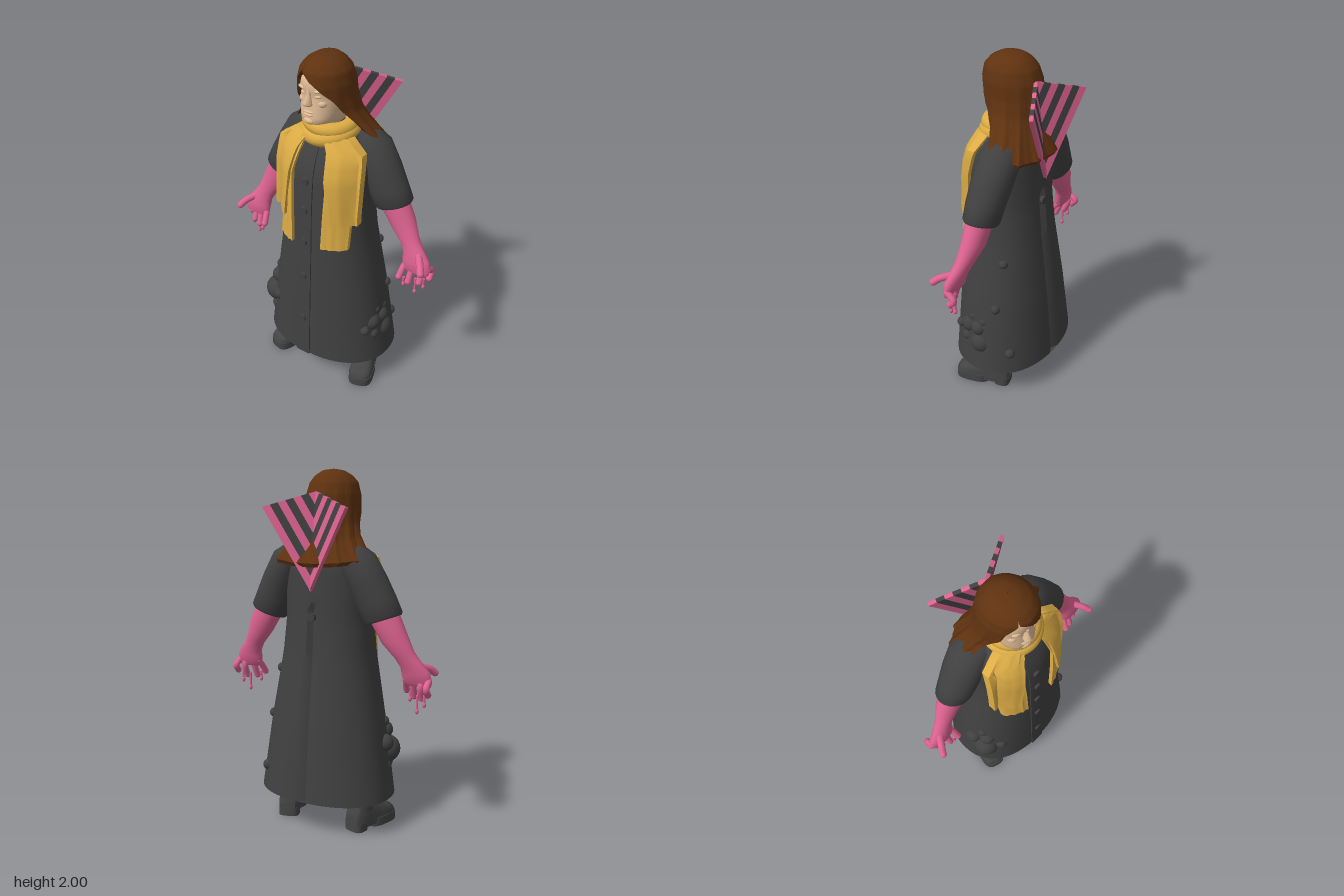
import * as THREE from 'three';
import { toCreasedNormals } from 'three/addons/utils/BufferGeometryUtils.js';

const V = (x, y, z) => new THREE.Vector3(x, y, z);
const lerp = THREE.MathUtils.lerp;
const mat = (name, color) => Object.assign(new THREE.MeshStandardMaterial({ color }), { name });

// Closed skin through a list of equal rings, with both ends capped
function loft(rings, crease = 0.7) {
  const N = rings[0].length, idx = [], L = (rings.length - 1) * N;
  const pts = rings.flat();
  for (let r = 0; r < rings.length - 1; r++) for (let i = 0; i < N; i++) {
    const j = (i + 1) % N, a = r * N + i, b = r * N + j, c = b + N, d = a + N;
    idx.push(a, b, c, a, c, d);
  }
  for (let i = 0; i < N / 2 - 1; i++) {
    const o = N - 1 - i;
    idx.push(i + 1, i, o, i + 1, o, o - 1, L + i, L + i + 1, L + o - 1, L + i, L + o - 1, L + o);
  }
  let vol = 0;
  for (let i = 0; i < idx.length; i += 3)
    vol += pts[idx[i]].dot(V(0, 0, 0).crossVectors(pts[idx[i + 1]], pts[idx[i + 2]]));
  if (vol < 0) idx.reverse();
  const g = new THREE.BufferGeometry().setFromPoints(pts);
  g.setIndex(idx);
  return toCreasedNormals(g, crease);
}

// Row of a numeric table interpolated by its first column
function row(table, y) {
  let i = 0;
  while (i < table.length - 2 && (table[i + 1][0] - y) * (table[1][0] - table[0][0]) < 0) i++;
  const a = table[i], b = table[i + 1];
  const t = THREE.MathUtils.clamp((y - a[0]) / (b[0] - a[0]), 0, 1);
  return a.map((v, k) => lerp(v, b[k], t));
}

const sp = (v, p) => Math.sign(v) * Math.abs(v) ** (2 / p);
const ring = (y, hw, zf, zb, p, n, cx = 0) => Array.from({ length: n }, (_, i) => {
  const a = i / n * Math.PI * 2;
  return V(cx + hw * sp(Math.sin(a), p), y, (zf + zb) / 2 + (zf - zb) / 2 * sp(Math.cos(a), p));
});

// Coat profile: y, half width, front z, back z
const COAT = [[0.195, 0.395, 0.29, -0.295], [0.6, 0.335, 0.27, -0.255], [1, 0.265, 0.247, -0.205],
  [1.2, 0.245, 0.238, -0.187], [1.4, 0.25, 0.218, -0.18], [1.5, 0.245, 0.185, -0.178],
  [1.58, 0.19, 0.14, -0.155], [1.64, 0.1, 0.09, -0.1]];
const P = 2.25;
function coatFront(x, y) {
  const [, hw, zf, zb] = row(COAT, y), u = Math.min(Math.abs(x) / hw, 0.92);
  return (zf + zb) / 2 + (zf - zb) / 2 * (1 - u ** P) ** (1 / P);
}
// Cloth strip on the coat front; edges: y, x0, x1
function strip(edges, lift, thick, rows = 14) {
  const y0 = edges[0][0], y1 = edges[edges.length - 1][0], n = 8, rings = [];
  for (let r = 0; r <= rows; r++) {
    const [y, a, b] = row(edges, lerp(y0, y1, r / rows));
    const side = off => Array.from({ length: n + 1 }, (_, i) => {
      const x = lerp(a, b, i / n);
      return V(x, y, coatFront(x, y) + off + (thick > 0.02 ? 0.004 * Math.sin(i * 2.4) : 0));
    });
    rings.push([...side(lift), ...side(lift - thick).reverse()]);
  }
  return loft(rings);
}

// Limb from oval sections: x, y, z, half width, half depth, tilt
const limb = (s, secs, n = 20) => loft(secs.map(([x, y, z, w, d, t]) =>
  Array.from({ length: n }, (_, i) => {
    const a = i / n * Math.PI * 2, u = w * Math.cos(a);
    return V(s * (x + u * Math.cos(t)), y + u * Math.sin(t), z + d * Math.sin(a));
  })), 0.9);

export function createModel() {
  const model = new THREE.Group();
  const coatM = mat('charcoal cloth', 0x404040), pink = mat('pink rubber', 0xde6390);
  const gold = mat('mustard wool', 0xdcac45), brown = mat('brown hair', 0x5f3210);
  const skin = mat('skin', 0xdfbb95), bootM = mat('boot leather', 0x444444);
  const add = (name, geo, m, parent = model) => {
    const o = new THREE.Mesh(geo, m); o.name = name; parent.add(o); return o;
  };
  const ball = (name, x, y, z, r, m, parent, sx = 1, sy = 1, sz = 1) => {
    const o = add(name, new THREE.SphereGeometry(r, 18, 12), m, parent);
    o.position.set(x, y, z); o.scale.set(sx, sy, sz); return o;
  };

  // Coat body with a pleat down the back
  const rings = [];
  for (let i = 0; i <= 30; i++) {
    const y = lerp(0.195, 1.64, i / 30), [, hw, zf, zb] = row(COAT, y), r = ring(y, hw, zf, zb, P, 72);
    if (y < 1.3) r[36].z += 0.022;
    rings.push(r);
  }
  add('coat', loft(rings), coatM);
  add('coatPlacket', strip([[1.55, -0.07, 0.02], [0.195, -0.07, 0.02]], 0.008, 0.016, 20), coatM);
  for (const y of [1.36, 1.19, 0.99, 0.76, 0.46]) {
    const b = add('coatButton', new THREE.CylinderGeometry(0.02, 0.023, 0.014, 16), coatM);
    b.rotation.x = Math.PI / 2;
    b.position.set(-0.025, y, coatFront(-0.025, y) + 0.012);
  }
  const bb = add('backButton', new THREE.CylinderGeometry(0.023, 0.023, 0.02, 16), coatM);
  bb.rotation.x = Math.PI / 2;
  bb.position.set(0, 1.22, -0.19);

  // Bubbles and small lumps on the coat
  const bubbles = [[-0.315, 0.44, 0.12, 0.08], [-0.3, 0.55, 0.12, 0.05], [-0.31, 0.61, 0.09, 0.03],
    [-0.255, 0.47, 0.19, 0.038], [-0.3, 0.35, 0.15, 0.04], [-0.33, 0.36, 0.05, 0.045], [-0.34, 0.5, 0.04, 0.05],
    [0.325, 0.36, -0.005, 0.07], [0.33, 0.46, 0.01, 0.05], [0.315, 0.45, 0.08, 0.055], [0.325, 0.51, -0.02, 0.03],
    [0.315, 0.42, 0.15, 0.03], [0.335, 0.37, 0.09, 0.035], [0.32, 0.52, 0.05, 0.03],
    [0.31, 0.62, -0.09, 0.027], [0.3, 0.33, -0.18, 0.03], [0.245, 0.9, -0.1, 0.027]];
  for (const [x, y, z, r] of bubbles) ball('coatBubble', x, y, z, r, coatM);

  for (const s of [1, -1]) {
    const side = s > 0 ? 'left' : 'right';
    // Sleeve
    add(side + 'Sleeve', limb(s, [[0.1, 1.57, -0.04, 0.06, 0.07, 1], [0.155, 1.545, -0.05, 0.09, 0.1, 0.8],
      [0.21, 1.505, -0.055, 0.105, 0.11, 0.55], [0.27, 1.4, -0.05, 0.108, 0.108, 0.42],
      [0.32, 1.3, -0.045, 0.11, 0.1, 0.36], [0.354, 1.225, -0.045, 0.112, 0.092, 0.34],
      [0.358, 1.212, -0.045, 0.104, 0.084, 0.34], [0.358, 1.214, -0.045, 0.09, 0.07, 0.34]]), coatM);
    // Glove: forearm and palm, fingers, thumb and drips
    const glove = new THREE.Group();
    glove.name = side + 'Glove'; model.add(glove);
    add('gloveArm', limb(s, [[0.35, 1.25, -0.04, 0.085, 0.068, 0.4], [0.42, 1.12, -0.04, 0.075, 0.06, 0.45],
      [0.475, 1.03, -0.025, 0.056, 0.045, 0.45], [0.505, 0.98, -0.012, 0.06, 0.04, 0.35],
      [0.53, 0.93, 0, 0.08, 0.038, 0.2], [0.54, 0.885, 0.005, 0.083, 0.032, 0.05],
      [0.543, 0.86, 0.01, 0.07, 0.02, 0]]), pink, glove);
    const finger = (name, r, ...p) => {
      const c = p.map(([x, y, z]) => V(s * x, y, z));
      add(name, new THREE.TubeGeometry(new THREE.CatmullRomCurve3(c), 10, r, 10), pink, glove);
      for (const e of [c[0], c[c.length - 1]]) ball(name + 'End', e.x, e.y, e.z, r, pink, glove);
    };
    finger('thumb', 0.02, [0.55, 0.97, 0.01], [0.585, 0.95, 0.06], [0.605, 0.925, 0.09]);
    [[0.475, 0.46, 0.82, 0.05], [0.52, 0.51, 0.795, 0.035], [0.565, 0.565, 0.795, 0.01], [0.605, 0.61, 0.825, -0.02]]
      .forEach(([bx, x, y, z]) =>
        finger('finger', 0.018, [bx, 0.895, 0], [lerp(bx, x, 0.6), 0.86, z - 0.025], [x, y, z]));
    for (const [x, top, y, z] of [[0.54, 0.81, 0.72, 0.005], [0.585, 0.82, 0.765, -0.005], [0.485, 0.82, 0.775, 0.04]]) {
      add('drip', new THREE.CylinderGeometry(0.008, 0.005, top - y, 8), pink, glove).position.set(s * x, (top + y) / 2, z);
      ball('dripDrop', s * x, y, z, 0.01, pink, glove, 1, 1.6, 1);
    }
    // Boot with sole and heel
    const boot = new THREE.Group();
    boot.name = side + 'Boot'; model.add(boot);
    boot.position.set(s * 0.24, 0, -0.02);
    boot.rotation.y = s * 0.3;
    const block = (hw, zf, zb, y0, y1) => loft([y0, y1].map(y => ring(y, hw, zf, zb, 3.2, 28)), 0.6);
    add('frontSole', block(0.073, 0.23, 0.02, 0, 0.05), bootM, boot);
    add('heel', block(0.06, -0.01, -0.105, 0, 0.05), bootM, boot);
    add('sole', block(0.062, 0.2, -0.105, 0.02, 0.055), bootM, boot);
    add('upper', loft([[-0.1, 0.045, 0.06], [-0.08, 0.058, 0.11], [-0.02, 0.062, 0.13], [0.05, 0.062, 0.12],
      [0.1, 0.068, 0.085], [0.16, 0.07, 0.065], [0.2, 0.06, 0.045], [0.222, 0.035, 0.015]].map(([z, hw, h]) =>
      Array.from({ length: 16 }, (_, i) => {
        const a = i / 15 * Math.PI;
        return V(hw * sp(Math.cos(a), 2.8), 0.045 + h * sp(Math.sin(a), 2.8), z);
      })), 0.8), bootM, boot);
    add('shaft', new THREE.CylinderGeometry(0.076, 0.068, 0.14, 24), bootM, boot).position.set(0, 0.185, -0.02);
    // Striped wing of the ribbon behind the head
    const A = V(s * 0.25, 1.8, -0.27), B = V(0, 1.88, -0.13), T = V(0, 1.36, -0.2);
    const nrm = V(0, 0, 0).crossVectors(B.clone().sub(A), T.clone().sub(A)).setLength(0.01);
    for (let k = 0; k < 7; k++) {
      const [t0, t1] = [k / 7, (k + 1) / 7], at = (a, t) => a.clone().lerp(B, t);
      const q = [at(A, t0), at(A, t1), at(T, t1), at(T, t0)];
      const slab = loft([q.map(p => p.clone().add(nrm)), q.map(p => p.clone().sub(nrm))], 0.3);
      add(side + 'RibbonStripe', slab, k % 2 ? coatM : pink);
    }
  }

  // Head, turned a little to its right
  const head = new THREE.Group();
  head.name = 'head'; model.add(head);
  head.position.x = -0.018;
  head.rotation.y = -0.13;
  add('face', loft([[1.57, 0.07, 0.07, -0.07], [1.64, 0.075, 0.12, -0.08], [1.652, 0.085, 0.155, -0.09],
    [1.675, 0.097, 0.173, -0.1], [1.7, 0.104, 0.17, -0.1], [1.73, 0.108, 0.168, -0.1], [1.79, 0.11, 0.16, -0.1],
    [1.82, 0.11, 0.157, -0.1], [1.84, 0.11, 0.167, -0.1], [1.89, 0.105, 0.155, -0.09], [1.93, 0.09, 0.125, -0.07],
    [1.96, 0.05, 0.07, -0.03]].map(r => ring(...r, 2.4, 40)), 1.2), skin, head);
  add('nose', loft([[1.845, 0.011, 0.172], [1.81, 0.012, 0.178], [1.78, 0.02, 0.2], [1.768, 0.024, 0.198],
    [1.758, 0.016, 0.178]].map(([y, w, z]) => ring(y, w, z, 0.13, 2, 16)), 1), skin, head);
  ball('upperLip', 0, 1.727, 0.164, 0.01, skin, head, 3.4, 0.7, 1.2);
  ball('lowerLip', 0, 1.711, 0.165, 0.01, skin, head, 3, 0.8, 1.2);
  ball('chin', 0, 1.678, 0.158, 0.025, skin, head, 1.4, 0.8, 0.9);
  for (const s of [1, -1]) {
    ball('brow', s * 0.043, 1.842, 0.15, 0.014, skin, head, 2.4, 0.65, 1).rotation.z = s * 0.12;
    ball('eyelid', s * 0.043, 1.813, 0.142, 0.014, skin, head, 1.6, 0.7, 1);
    ball('cheek', s * 0.058, 1.775, 0.125, 0.028, skin, head, 1, 0.8, 1);
  }

  // Hair: y, centre x, half width, front z, back z, face opening from, to
  const HAIR = [[2, -0.02, 0.004, 0.03, 0.02, -0.5, -0.5], [1.992, -0.02, 0.055, 0.09, -0.045, -0.5, -0.5],
    [1.965, -0.02, 0.1, 0.14, -0.085, -0.5, -0.5], [1.93, -0.02, 0.13, 0.172, -0.115, -0.52, -0.48],
    [1.87, -0.02, 0.148, 0.184, -0.14, -0.9, 0.2], [1.8, -0.02, 0.155, 0.18, -0.15, -1.0, 0.75],
    [1.73, -0.015, 0.17, 0.15, -0.16, -1.12, 0.95], [1.67, -0.005, 0.205, 0.12, -0.185, -1.2, 1.1],
    [1.61, 0, 0.265, 0.1, -0.222, -1.2, 1.15], [1.575, 0, 0.305, 0.09, -0.245, -1.15, 1.12],
    [1.565, 0, 0.29, 0.085, -0.23, -1.15, 1.12]];
  const hair = [];
  for (let r = 0; r <= 40; r++) {
    const yy = lerp(2, 1.565, (r / 40) ** 1.4), [y, cx, hw, zf, zb, a0, a1] = row(HAIR, yy);
    const t = (2 - y) / 0.435, n = 110;
    const shell = cut => Array.from({ length: n + 1 }, (_, i) => {
      const a = lerp(a1, a0 + Math.PI * 2, i / n);
      const k = 1 - t * (0.07 * Math.abs(Math.sin(a * 6.5 + 0.8 * t)) + 0.025 * Math.abs(Math.sin(a * 15)));
      const rx = Math.max(hw * k - cut, 0.001), rz = Math.max((zf - zb) / 2 * k - cut, 0.001);
      const drop = 0.075 * t * t * (1 - Math.cos(a)) / 2;
      return V(cx + rx * Math.sin(a), y - drop - cut * 0.3 * (1 - t), (zf + zb) / 2 + rz * Math.cos(a));
    });
    hair.push([...shell(0), ...shell(0.035).reverse()]);
  }
  add('hair', loft(hair, 0.6), brown);

  // Scarf: two wound loops and four hanging ends
  for (const [y, R, r, tx, tz] of [[1.645, 0.112, 0.04, 0.1, -0.1], [1.595, 0.12, 0.044, 0.12, 0.08]]) {
    const loop = add('scarfLoop', new THREE.TorusGeometry(R, r, 14, 48), gold);
    loop.position.set(0.003, y, 0.022);
    loop.rotation.set(Math.PI / 2 + tx, tz, 0);
  }
  add('rightScarfUnder', strip([[1.56, -0.2, -0.07], [1.4, -0.23, -0.11], [0.965, -0.225, -0.1]], 0.022, 0.03), gold);
  add('rightScarfOver', strip([[1.6, -0.15, -0.05], [1.53, -0.255, -0.09], [1.4, -0.265, -0.12],
    [1.115, -0.268, -0.155]], 0.042, 0.045), gold);
  add('leftScarfUnder', strip([[1.56, 0.07, 0.2], [1.4, 0.1, 0.22], [0.985, 0.085, 0.215]], 0.022, 0.03), gold);
  add('leftScarfOver', strip([[1.6, 0.05, 0.16], [1.53, 0.09, 0.255], [1.4, 0.1, 0.262],
    [1.14, 0.14, 0.255]], 0.042, 0.045), gold);

  return model;
}
